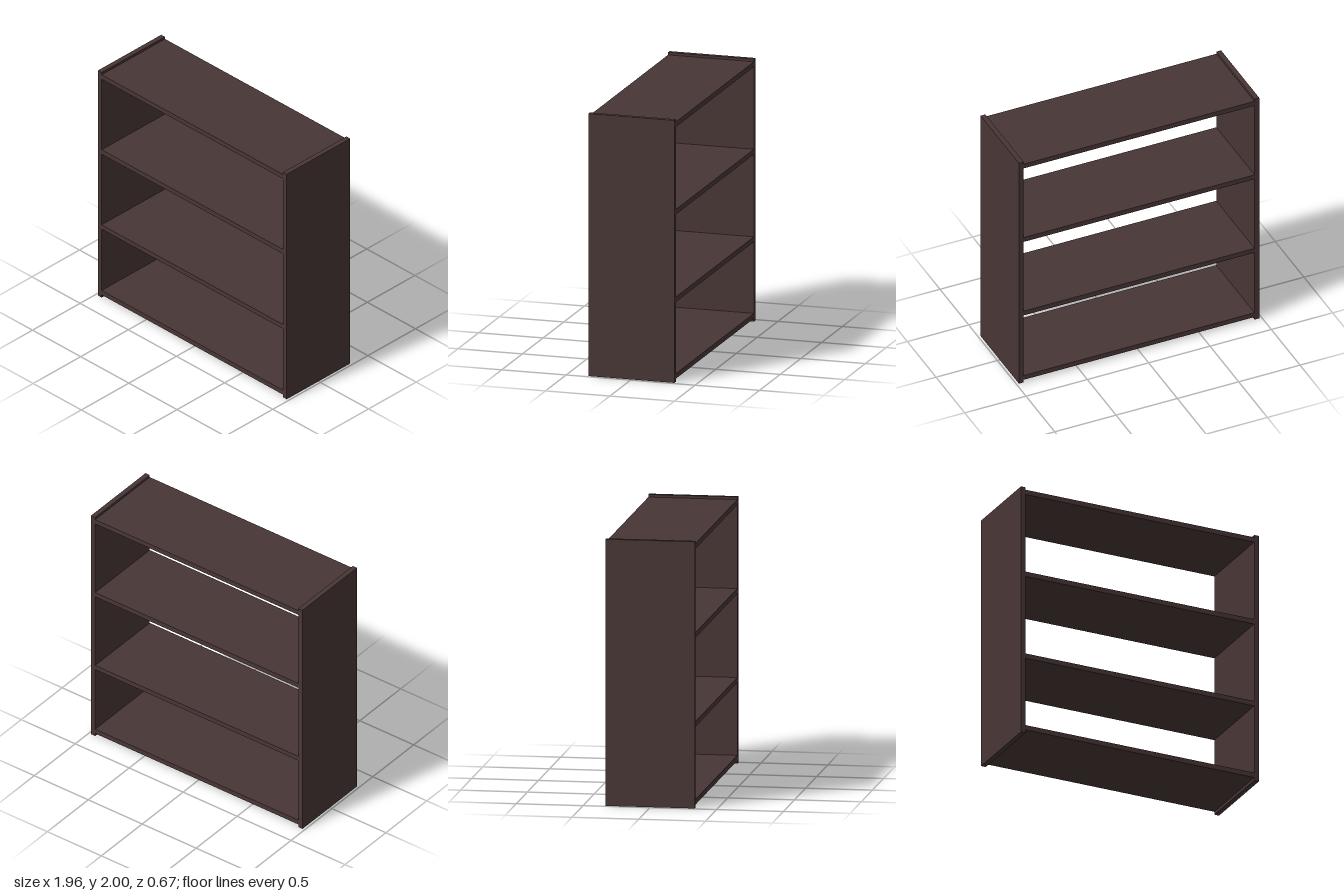
import * as THREE from 'three';

export function createModel() {
  const group = new THREE.Group();
  group.name = 'bookshelf';
  const wood = new THREE.MeshStandardMaterial({ color: 0x483535 });
  wood.name = 'dark brown wood';

  const height = 2, width = 1.96, depth = 0.667, board = 0.039;

  const addBoard = (name, w, h, x, y) => {
    const mesh = new THREE.Mesh(new THREE.BoxGeometry(w, h, depth), wood);
    mesh.name = name;
    mesh.position.set(x, y, 0);
    group.add(mesh);
  };

  // Upright side panels
  const sideX = (width - board) / 2;
  addBoard('leftSide', board, height, sideX, height / 2);
  addBoard('rightSide', board, height, -sideX, height / 2);

  // Horizontal boards fitted between the sides
  const shelves = { bottomShelf: 0.043, lowerShelf: 0.627, upperShelf: 1.294, topShelf: 1.961 };
  for (const [name, y] of Object.entries(shelves)) {
    addBoard(name, width - 2 * board, board, 0, y);
  }
  return group;
}
